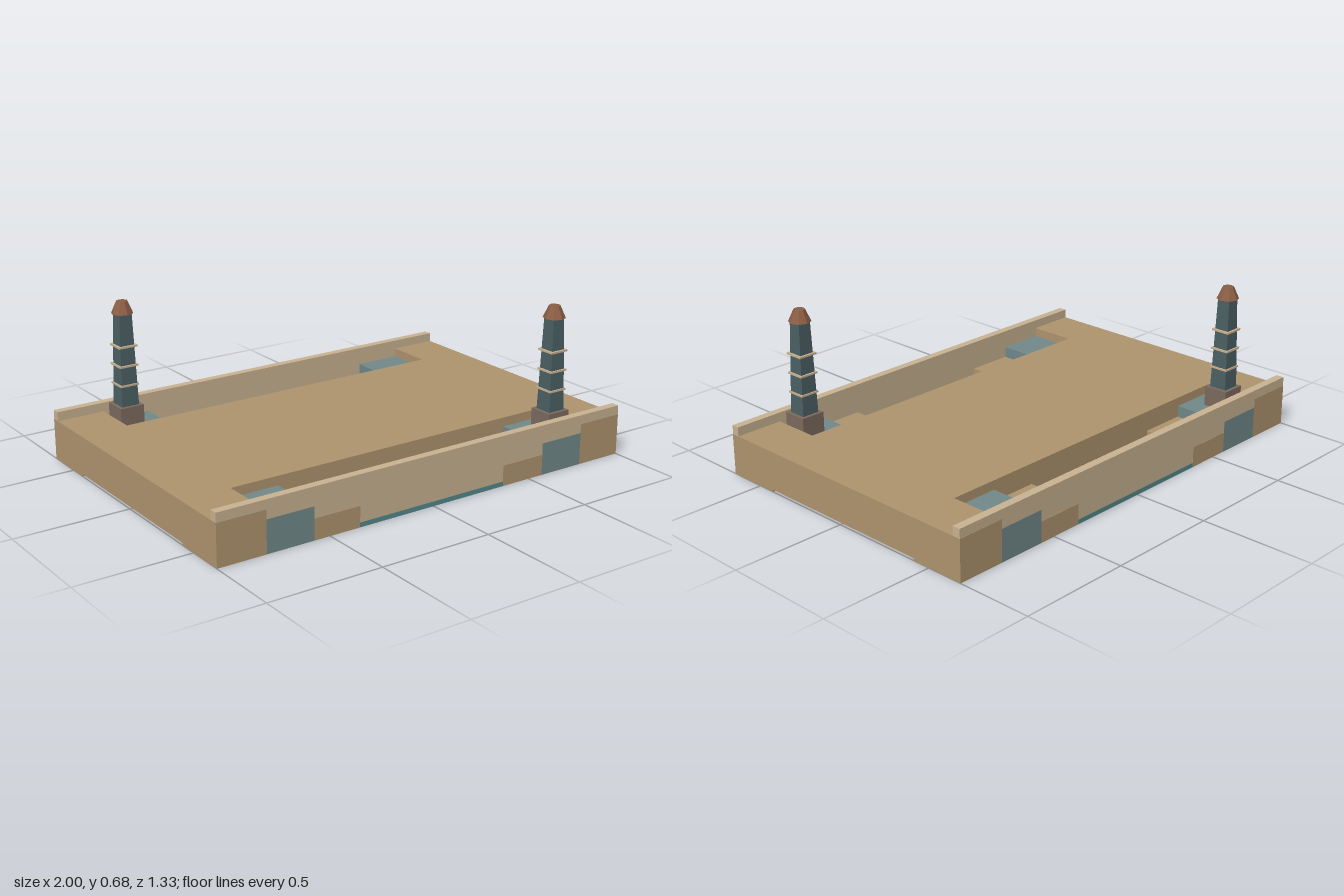
import * as THREE from 'three';

const mat = (name, color) => new THREE.MeshStandardMaterial({ name, color });

export function createModel() {
  const sand = mat('sand', 0xb0956f);
  const paleStone = mat('pale stone', 0xcab392);
  const water = mat('deep water', 0x54898c);
  const shallow = mat('shallow water', 0x72898a);
  const slate = mat('slate', 0x4c6064);
  const plinthStone = mat('plinth stone', 0x7d6b5f);
  const roofTile = mat('roof tile', 0x8c5e45);

  const model = new THREE.Group();
  model.name = 'courtyard';

  // Box given by its lower and upper limits on each axis
  const box = (parent, name, material, [x0, x1], [y0, y1], [z0, z1]) => {
    const mesh = new THREE.Mesh(new THREE.BoxGeometry(x1 - x0, y1 - y0, z1 - z0), material);
    mesh.position.set((x0 + x1) / 2, (y0 + y1) / 2, (z0 + z1) / 2);
    mesh.name = name;
    parent.add(mesh);
  };

  // Raised central platform
  box(model, 'platform', sand, [-1, 1], [0.01, 0.18], [-0.417, 0.417]);

  // Stepped channel and parapet along the front and back
  const steps = [
    ['endBlock', sand, 0.785, 1, 0.18],
    ['upperPool', shallow, 0.572, 0.785, 0.14],
    ['step', sand, 0.36, 0.572, 0.09],
  ];
  for (const side of [1, -1]) {
    const span = (a, b) => (side > 0 ? [a, b] : [-b, -a]);
    const channel = new THREE.Group();
    channel.name = side > 0 ? 'frontChannel' : 'backChannel';
    box(channel, 'lowerPool', water, [-0.36, 0.36], [0, 0.02], span(0.417, 0.667));
    for (const [name, material, x0, x1, top] of steps) {
      box(channel, name, material, [x0, x1], [0, top], span(0.417, 0.667));
      box(channel, name, material, [-x1, -x0], [0, top], span(0.417, 0.667));
    }
    box(channel, 'parapet', paleStone, [-0.9995, 0.9995], [0.001, 0.22], span(0.63, 0.666));
    model.add(channel);
  }

  // Tapered square shaft, turned so its faces lie along the axes
  const shaftGeometry = new THREE.CylinderGeometry(0.029 * Math.SQRT2, 0.04 * Math.SQRT2, 0.402, 4)
    .rotateY(Math.PI / 4).toNonIndexed();
  shaftGeometry.computeVertexNormals();
  const roofGeometry = new THREE.CylinderGeometry(0.024, 0.048, 0.053, 8).toNonIndexed();
  roofGeometry.computeVertexNormals();

  // Towers at two opposite corners
  for (const side of [1, -1]) {
    const tower = new THREE.Group();
    tower.name = side > 0 ? 'frontTower' : 'backTower';
    tower.position.set(side * 0.718, 0, side * 0.545);
    box(tower, 'plinth', plinthStone, [-0.055, 0.055], [0.135, 0.228], [-0.055, 0.055]);

    const shaft = new THREE.Mesh(shaftGeometry, slate);
    shaft.name = 'shaft';
    shaft.position.y = 0.429;
    tower.add(shaft);

    for (const y of [0.32, 0.405, 0.49])
      box(tower, 'band', paleStone, [-0.043, 0.043], [y - 0.004, y + 0.004], [-0.043, 0.043]);

    const roof = new THREE.Mesh(roofGeometry, roofTile);
    roof.name = 'roof';
    roof.position.y = 0.6565;
    tower.add(roof);
    model.add(tower);
  }

  return model;
}
